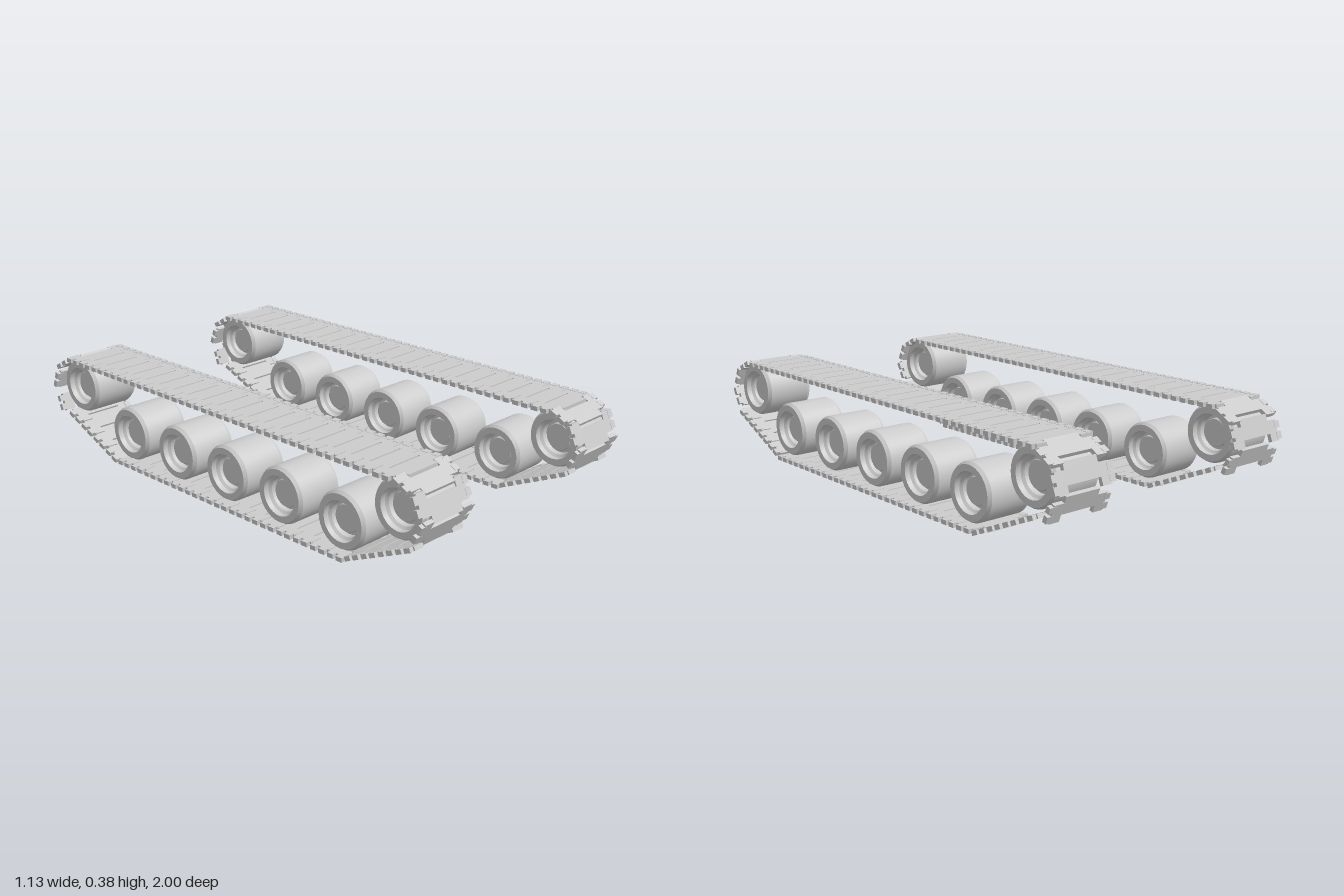
import * as THREE from 'three';
import { mergeGeometries, toCreasedNormals } from 'three/addons/utils/BufferGeometryUtils.js';

const material = new THREE.MeshStandardMaterial({ color: 0xcccccc });
const PITCH = 0.083;

// One track link: x across the track, y along it, z through its thickness
function linkGeometry() {
  const h = PITCH / 2 - 0.002, tongue = 0.03, w = 0.117, c = 0.074;
  const outline = [
    [-w, -h], [-c, -h], [-c, -h + tongue], [c, -h + tongue], [c, -h], [w, -h],
    [w, h], [c, h], [c, h + tongue - 0.003], [-c, h + tongue - 0.003], [-c, h], [-w, h],
  ].map(([x, y]) => new THREE.Vector2(x, y - tongue / 2));
  const plate = new THREE.ExtrudeGeometry(new THREE.Shape(outline), { depth: 0.015, bevelEnabled: false });
  plate.translate(0, 0, -0.0075);
  const parts = [plate];
  // Hinge knuckles on both ends of the link
  for (const side of [-1, 1]) {
    for (const [s, len] of [[-0.035, 0.028], [0.005, 0.026]]) {
      const knuckle = new THREE.BoxGeometry(0.026, len, 0.017).toNonIndexed();
      knuckle.translate(side * 0.121, s, 0);
      parts.push(knuckle);
    }
  }
  return mergeGeometries(parts);
}

// Road wheel turned about the x axis, dished on both faces
function wheelGeometry() {
  const half = [[0, 0.068], [0.05, 0.068], [0.053, 0.064], [0.053, 0.05], [0.064, 0.05], [0.066, 0.07],
    [0.074, 0.08], [0.076, 0.1], [0.1, 0.1], [0.108, 0.086]];
  const profile = [
    ...half.map(([r, y]) => new THREE.Vector2(r, -y)),
    ...half.slice().reverse().map(([r, y]) => new THREE.Vector2(r, y)),
  ];
  const g = new THREE.LatheGeometry(profile, 32);
  g.rotateZ(-Math.PI / 2);
  return toCreasedNormals(g, 0.5);
}

// Runs of links as [z, y] start, [z, y] end and link count
const RUNS = [
  [[-0.88, 0.369], [0.88, 0.369], 21],
  [[0.88, 0.369], [0.952, 0.332], 1],
  [[0.955, 0.328], [0.99, 0.247], 1],
  [[0.99, 0.24], [0.95, 0.16], 1],
  [[0.948, 0.15], [0.65, 0.012], 4],
  [[0.65, 0.011], [-0.6, 0.011], 15],
  [[-0.6, 0.012], [-0.917, 0.149], 4],
  [[-0.95, 0.142], [-0.976, 0.212], 1],
  [[-0.988, 0.238], [-0.96, 0.315], 1],
  [[-0.955, 0.325], [-0.88, 0.369], 1],
];

// Wheel centres as [z, y]
const WHEELS = [
  [0.873, 0.257], [0.616, 0.131], [0.319, 0.131], [0.035, 0.131],
  [-0.249, 0.131], [-0.535, 0.131], [-0.851, 0.257],
];

function createTrack(link, wheel) {
  const track = new THREE.Group();
  const belt = new THREE.Group();
  belt.name = 'trackBelt';
  const across = new THREE.Vector3(1, 0, 0);
  for (const [[z0, y0], [z1, y1], count] of RUNS) {
    const a = new THREE.Vector3(0, y0, z0), b = new THREE.Vector3(0, y1, z1);
    const along = b.clone().sub(a).normalize();
    const through = across.clone().cross(along);
    const basis = new THREE.Matrix4().makeBasis(across, along, through);
    const scale = a.distanceTo(b) / count / PITCH;
    for (let i = 0; i < count; i++) {
      const m = new THREE.Mesh(link, material);
      m.name = 'trackLink';
      m.quaternion.setFromRotationMatrix(basis);
      m.position.lerpVectors(a, b, (i + 0.5) / count);
      m.scale.y = scale;
      belt.add(m);
    }
  }
  track.add(belt);
  WHEELS.forEach(([z, y], i) => {
    const m = new THREE.Mesh(wheel, material);
    m.name = i === 0 ? 'frontIdler' : i === WHEELS.length - 1 ? 'rearWheel' : 'roadWheel';
    m.position.set(0, y, z);
    track.add(m);
  });
  return track;
}

export function createModel() {
  const model = new THREE.Group();
  model.name = 'trackPair';
  const link = linkGeometry(), wheel = wheelGeometry();
  for (const side of [-1, 1]) {
    const track = createTrack(link, wheel);
    track.name = side > 0 ? 'leftTrack' : 'rightTrack';
    track.position.x = side * 0.43;
    model.add(track);
  }
  return model;
}
